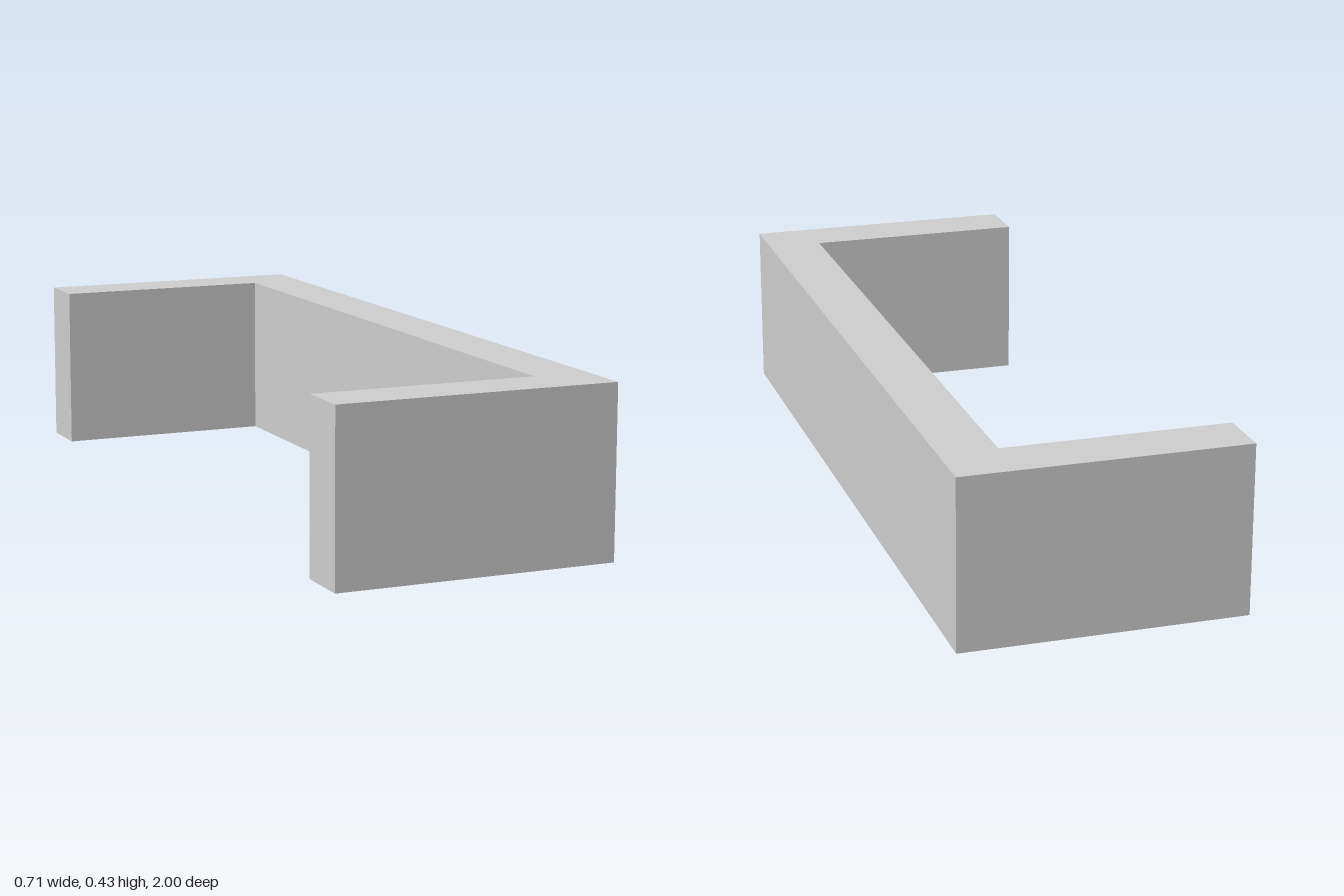
import * as THREE from 'three';

export function createModel() {
  const group = new THREE.Group();
  group.name = 'channelBracket';
  // Open underneath, so the thin walls show from both sides
  const material = new THREE.MeshStandardMaterial({
    color: 0xcccccc, flatShading: true, side: THREE.DoubleSide,
  });

  const height = 3 / 7, wall = 1 / 7, w = 2.5 / 7;

  // U-shaped plan, counter-clockwise, opening towards -x
  const outline = [
    [-w, -1], [w, -1], [w, 1], [-w, 1],
    [-w, 1 - wall], [w - wall, 1 - wall], [w - wall, wall - 1], [-w, wall - 1],
  ].map(([x, y]) => new THREE.Vector2(x, y));

  // Flat top cover
  const top = new THREE.Mesh(new THREE.ShapeGeometry(new THREE.Shape(outline)), material);
  top.name = 'topCover';
  top.rotation.x = -Math.PI / 2;
  top.position.y = height;
  group.add(top);

  // One upright panel along each edge of the plan
  const names = ['frontSide', 'outerSide', 'backSide', 'backArmEnd',
    'backArmInside', 'innerSide', 'frontArmInside', 'frontArmEnd'];
  outline.forEach((a, i) => {
    const b = outline[(i + 1) % outline.length];
    const panel = new THREE.Mesh(new THREE.PlaneGeometry(a.distanceTo(b), height), material);
    panel.name = names[i];
    panel.position.set((a.x + b.x) / 2, height / 2, -(a.y + b.y) / 2);
    panel.rotation.y = Math.atan2(b.y - a.y, b.x - a.x);
    group.add(panel);
  });

  return group;
}
